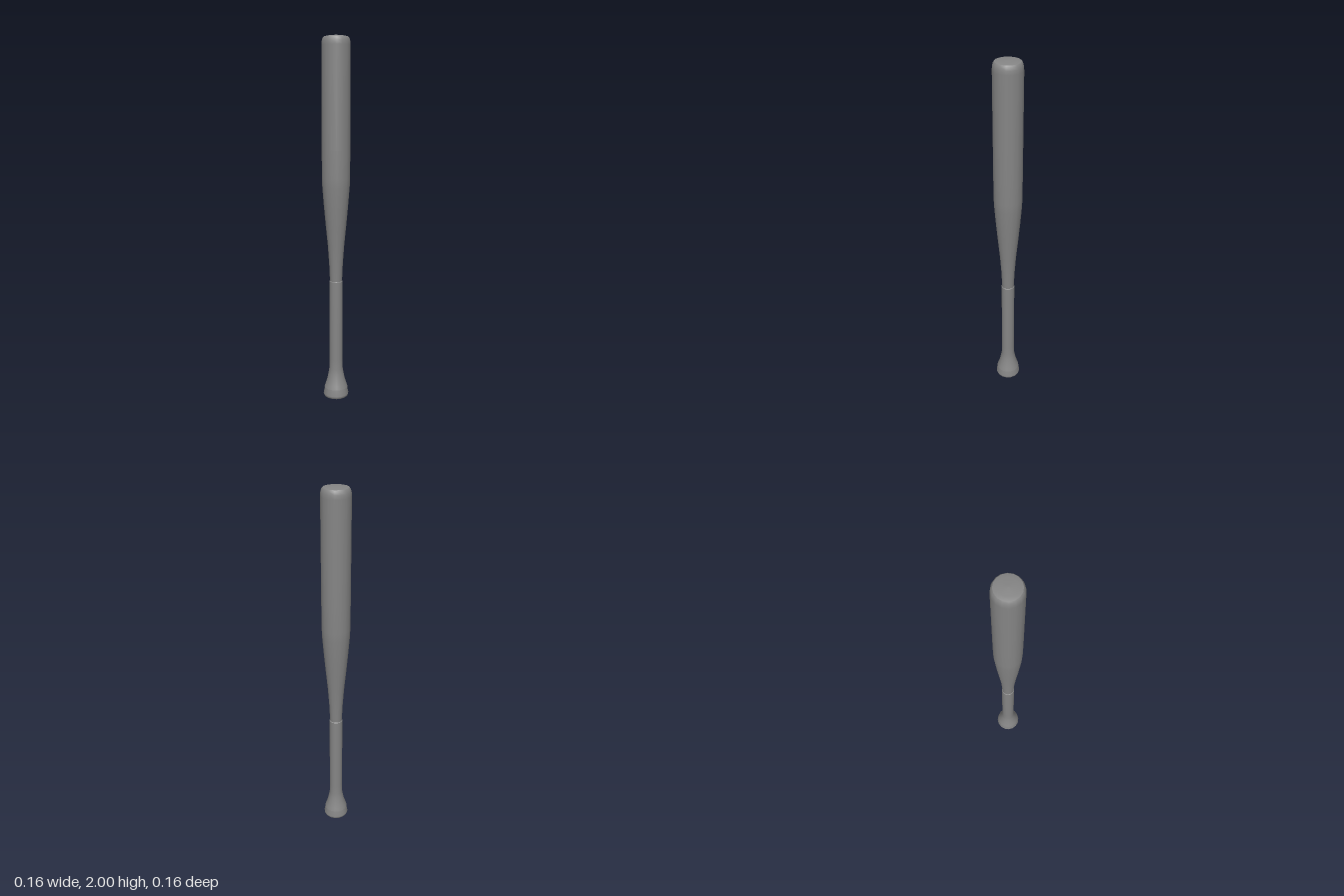
import * as THREE from 'three';

const SIDES = 16;

export function createModel() {
  const bat = new THREE.Group();
  bat.name = 'bat';
  const material = new THREE.MeshStandardMaterial({ color: 0x858585 });

  // Turned section from [radius, height] pairs, listed bottom to top.
  // Separate sections keep the edges between them sharp.
  function turned(name, profile) {
    const points = profile.map(([r, y]) => new THREE.Vector2(r, y));
    const mesh = new THREE.Mesh(new THREE.LatheGeometry(points, SIDES), material);
    mesh.name = name;
    bat.add(mesh);
  }

  // Knob: flat base, rounded rim, narrowing upwards under the grip
  turned('knobBase', [[0, 0], [0.064, 0]]);
  turned('knob', [[0.064, 0], [0.069, 0.006], [0.071, 0.016], [0.063, 0.054]]);

  // Grip: overhangs the knob slightly, flares at the bottom, small step at the top
  turned('gripUnderside', [[0.063, 0.054], [0.066, 0.053]]);
  turned('grip', [
    [0.066, 0.053], [0.06, 0.072], [0.05, 0.102], [0.043, 0.135],
    [0.038, 0.165], [0.037, 0.22], [0.037, 0.672],
  ]);
  turned('gripEnd', [[0.037, 0.672], [0.034, 0.675]]);

  // Barrel: tapered neck, straight body, rounded shoulder
  turned('barrel', [
    [0.034, 0.675], [0.038, 0.77], [0.046, 0.88], [0.057, 0.99],
    [0.067, 1.1], [0.075, 1.2], [0.077, 1.25], [0.0775, 1.4],
    [0.0775, 1.95], [0.076, 1.97], [0.072, 1.985], [0.066, 1.993],
  ]);
  turned('barrelTop', [[0.066, 1.993], [0.045, 1.998], [0, 2]]);

  return bat;
}
